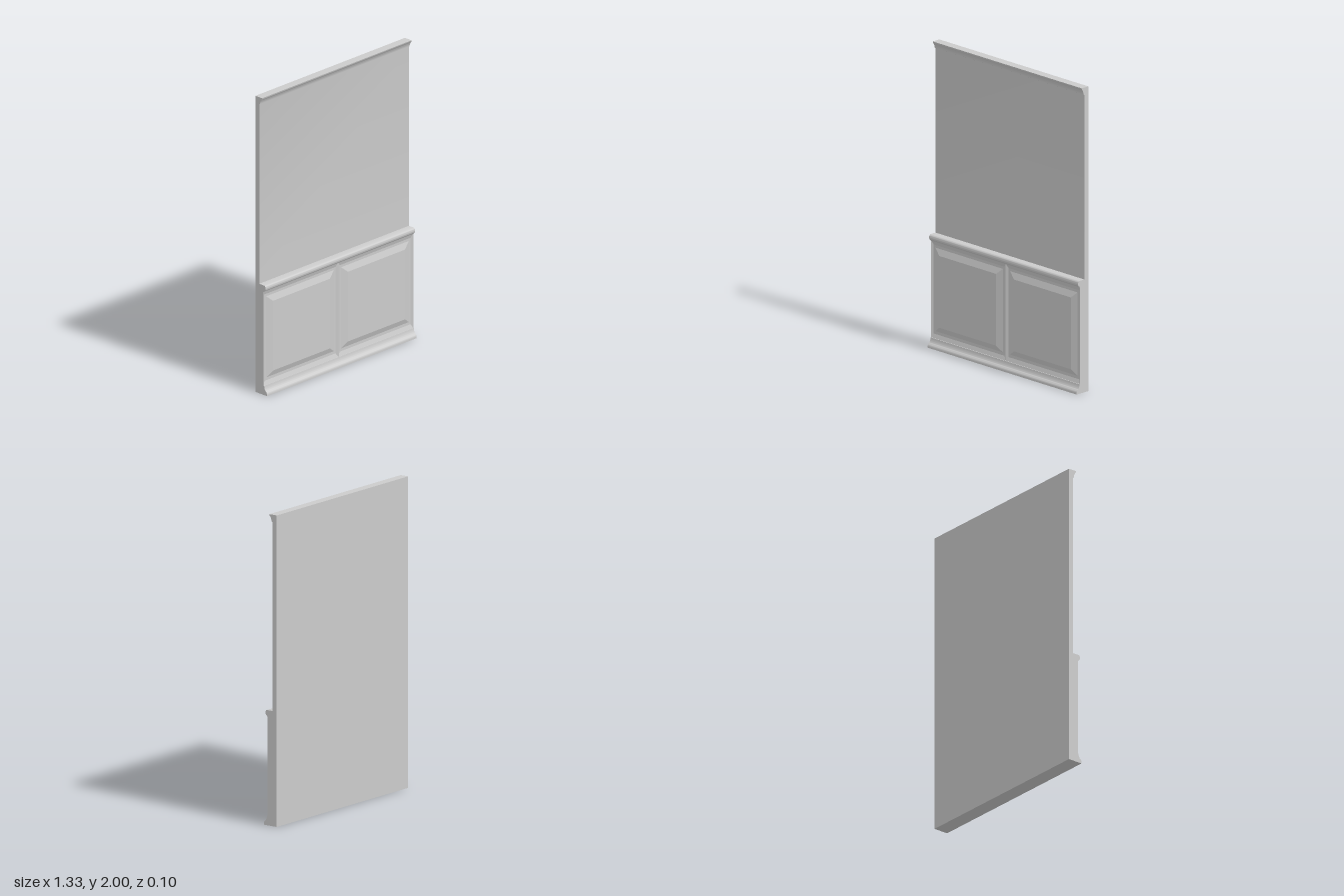
import * as THREE from 'three';
import { toCreasedNormals } from 'three/addons/utils/BufferGeometryUtils.js';

const HALF = 0.665;   // half width of the wall
const BACK = -0.052;  // rear plane
const WALL = -0.018;  // plain wall face
const RECESS = 0.011; // bottom of the panel grooves

export function createModel() {
  const group = new THREE.Group();
  const material = new THREE.MeshStandardMaterial({ color: 0xcccccc });

  const add = (name, geometry) => {
    const mesh = new THREE.Mesh(geometry, material);
    mesh.name = name;
    group.add(mesh);
  };

  // Sweep a (z, y) profile along the full width
  const sweep = (name, draw) => {
    const shape = new THREE.Shape();
    draw(shape);
    const geo = new THREE.ExtrudeGeometry(shape, { depth: HALF * 2, bevelEnabled: false, curveSegments: 8 });
    geo.translate(0, 0, -HALF).rotateY(-Math.PI / 2);
    add(name, toCreasedNormals(geo, 0.6));
  };

  // Whole wall section: skirting, wainscot, chair rail, plain wall and crown
  sweep('wallWithMouldings', (s) => {
    s.moveTo(BACK, 0);
    s.lineTo(0.05, 0);
    s.lineTo(0.05, 0.012);
    s.quadraticCurveTo(0.047, 0.025, 0.036, 0.03);
    s.quadraticCurveTo(0.027, 0.042, 0.025, 0.062);
    s.lineTo(RECESS, 0.062);
    s.lineTo(RECESS, 0.695);
    s.lineTo(0.022, 0.695);
    s.quadraticCurveTo(0.024, 0.703, 0.03, 0.704);
    s.bezierCurveTo(0.04, 0.71, 0.04, 0.738, 0.026, 0.74);
    s.lineTo(WALL, 0.74);
    s.lineTo(WALL, 1.952);
    s.lineTo(-0.012, 1.955);
    s.quadraticCurveTo(-0.008, 1.978, 0.004, 1.99);
    s.lineTo(0.006, 2);
    s.lineTo(BACK, 2);
    s.closePath();
  });

  // Nested rectangles [x0, x1, y0, y1, z] joined by mitred slopes, then capped
  const nestedPanel = (loops) => {
    const pos = [];
    const corners = loops.map(([x0, x1, y0, y1, z]) => [[x0, y0, z], [x1, y0, z], [x1, y1, z], [x0, y1, z]]);
    const quad = (a, b, c, d) => pos.push(...a, ...b, ...c, ...a, ...c, ...d);
    for (let i = 0; i < corners.length - 1; i++) {
      for (let k = 0; k < 4; k++) {
        const n = (k + 1) % 4;
        quad(corners[i][k], corners[i][n], corners[i + 1][n], corners[i + 1][k]);
      }
    }
    quad(...corners[corners.length - 1]);
    const geo = new THREE.BufferGeometry();
    geo.setAttribute('position', new THREE.Float32BufferAttribute(pos, 3));
    geo.computeVertexNormals();
    return geo;
  };

  // Two raised panels with sloping frames that meet in a ridge at the centre
  for (const side of [-1, 1]) {
    const loop = (inner, outer, y0, y1, z) => {
      const a = side * inner, b = side * (HALF - outer);
      return [Math.min(a, b), Math.max(a, b), y0, y1, z];
    };
    add(side < 0 ? 'rightPanel' : 'leftPanel', nestedPanel([
      loop(0, 0, 0.06, 0.7, RECESS),
      loop(0, 0, 0.06, 0.7, 0.021),
      loop(0.018, 0.015, 0.088, 0.672, RECESS + 0.001),
      loop(0.032, 0.03, 0.107, 0.655, RECESS + 0.001),
      loop(0.08, 0.078, 0.143, 0.614, 0.025),
    ]));
  }
  return group;
}
